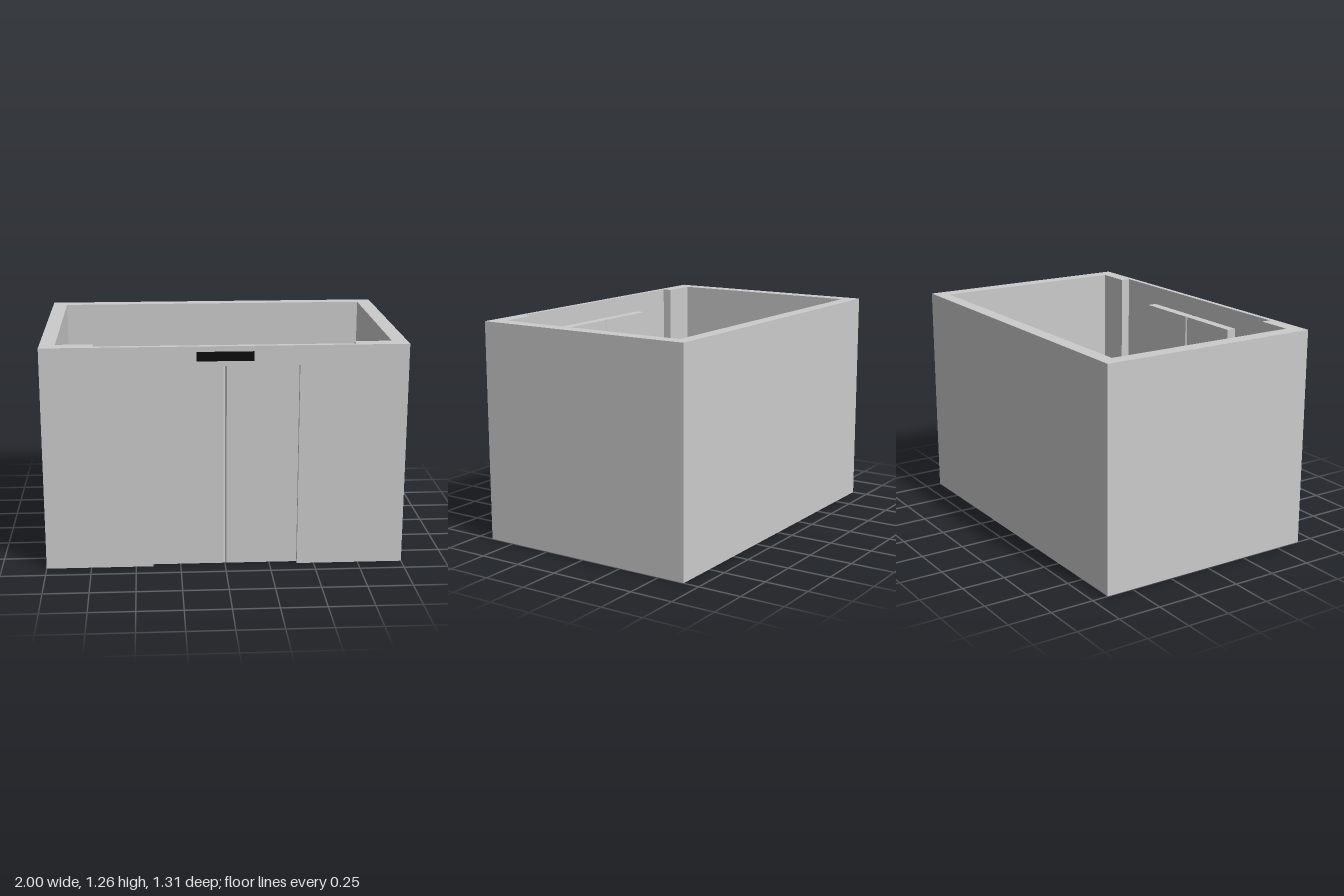
import * as THREE from 'three';

const H = 1.26, DOOR_H = 1.15, DOOR_W = 0.405;
const grey = new THREE.MeshStandardMaterial({ color: 0xcccccc, flatShading: true });
const black = new THREE.MeshStandardMaterial({ color: 0x0c0c0c });

const toShape = (pts) => new THREE.Shape(pts.map(([x, y]) => new THREE.Vector2(x, y)));

// Extrude a floor plan given as [x, z] points up to a height
function extrudePlan(name, pts, height, holePts) {
  const shape = toShape(pts.map(([x, z]) => [x, -z]));
  if (holePts) shape.holes.push(toShape(holePts.map(([x, z]) => [x, -z])));
  const geo = new THREE.ExtrudeGeometry(shape, { depth: height, bevelEnabled: false });
  geo.rotateX(-Math.PI / 2);
  const mesh = new THREE.Mesh(geo, grey);
  mesh.name = name;
  return mesh;
}

export function createModel() {
  const model = new THREE.Group();
  model.name = 'liftLobby';

  // Back, side and thick front corner walls as one U-shaped plan
  const half = [[1, -0.657], [1, 0.655], [0.71, 0.655], [0.71, 0.57], [0.915, 0.57], [0.915, -0.577]];
  const mirrored = half.map(([x, z]) => [-x, z]).reverse();
  model.add(extrudePlan('outerWalls', [...half, ...mirrored], H));

  // Thin front wall with the doorway cut out
  const frontShape = toShape([
    [-0.71, 0], [-DOOR_W, 0], [-DOOR_W, DOOR_H], [DOOR_W, DOOR_H],
    [DOOR_W, 0], [0.71, 0], [0.71, H], [-0.71, H],
  ]);
  const front = new THREE.Mesh(
    new THREE.ExtrudeGeometry(frontShape, { depth: 0.03, bevelEnabled: false }), grey);
  front.position.z = 0.625;
  front.name = 'frontWall';
  model.add(front);

  // Pair of sliding doors, chamfered where they meet
  const c = 0.009, z0 = 0.57, z1 = 0.626;
  for (const [side, name] of [[1, 'leftDoor'], [-1, 'rightDoor']]) {
    const plan = [[0, z0 + c], [c, z0], [DOOR_W, z0], [DOOR_W, z1], [c, z1], [0, z1 - c]];
    model.add(extrudePlan(name, plan.map(([x, z]) => [x * side, z]), DOOR_H));
  }

  // Dark indicator panel above the doors
  const panel = new THREE.Mesh(new THREE.BoxGeometry(0.31, 0.052, 0.01), black);
  panel.position.set(0, 1.204, 0.652);
  panel.name = 'indicatorPanel';
  model.add(panel);

  return model;
}
